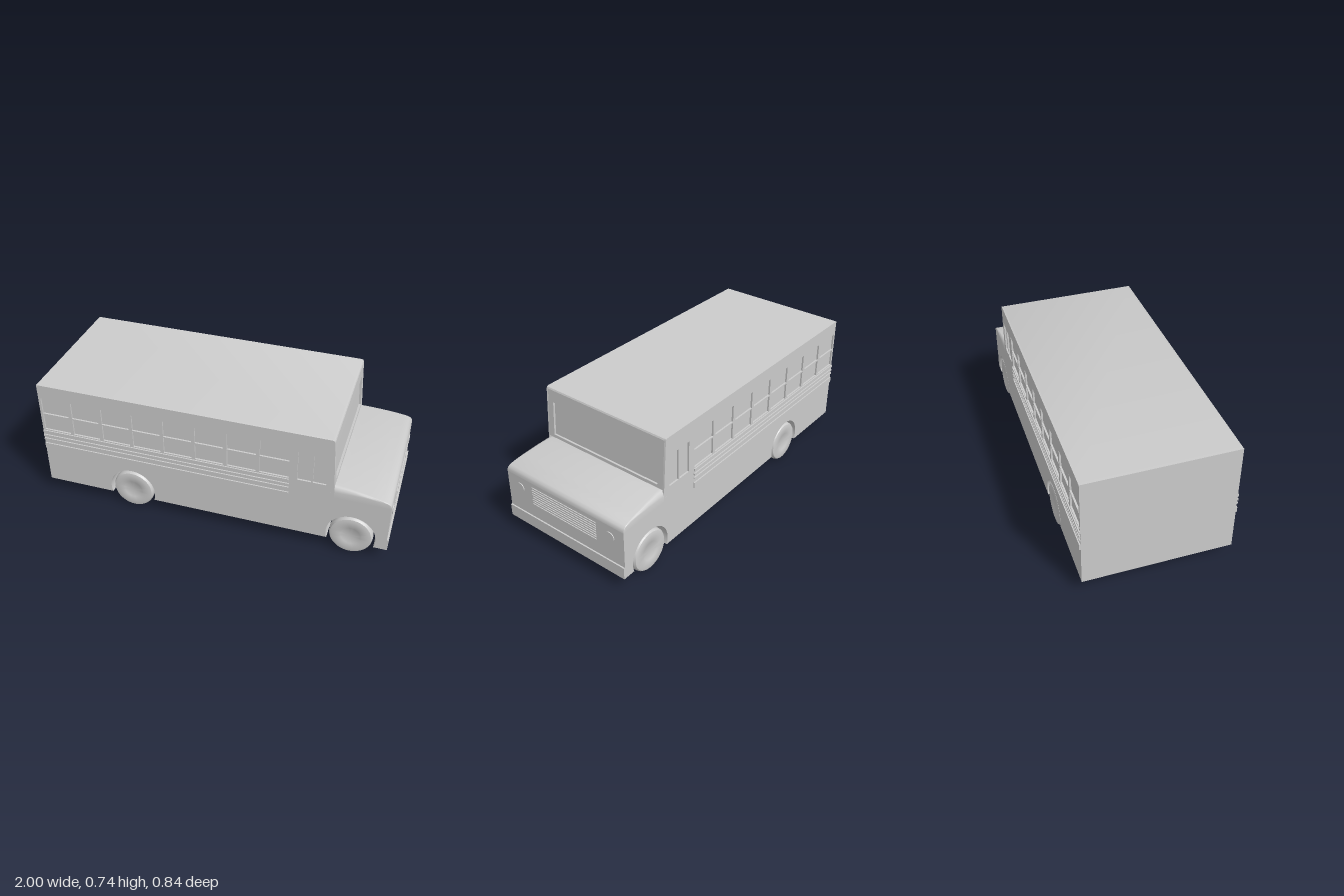
import * as THREE from 'three';
import { toCreasedNormals } from 'three/addons/utils/BufferGeometryUtils.js';

const HALF = 0.408, SKIN = 0.01, HOOD_BASE = 0.37;
const WHEEL_X = [-0.47, 0.795], WHEEL_Y = 0.127, ARCH = 0.136;
const material = new THREE.MeshStandardMaterial({ color: 0xcccccc, side: THREE.DoubleSide });

function add(parent, name, geometry, x = 0, y = 0, z = 0) {
  const mesh = new THREE.Mesh(geometry, material);
  mesh.name = name;
  mesh.position.set(x, y, z);
  parent.add(mesh);
  return mesh;
}

function rectHole(x0, x1, y0, y1) {
  return new THREE.Path([[x0, y0], [x1, y0], [x1, y1], [x0, y1]].map(p => new THREE.Vector2(...p)));
}

// Side outline with two wheel arches; inset pushes the windscreen wall back
function sideShape(inset) {
  const s = new THREE.Shape();
  const a = Math.asin((WHEEL_Y - 0.082) / ARCH);
  s.moveTo(-1, 0.74);
  s.lineTo(-1, 0.082);
  for (const x of WHEEL_X) s.absarc(x, WHEEL_Y, ARCH, Math.PI + a, -a, true);
  s.lineTo(0.99, 0.082);
  s.lineTo(0.99, HOOD_BASE);
  s.lineTo(0.688 - inset, HOOD_BASE);
  s.lineTo(0.667 - inset, 0.728);
  if (inset) s.lineTo(0.667, 0.728);
  s.lineTo(0.663, 0.736);
  s.lineTo(0.654, 0.74);
  s.closePath();
  return s;
}

function extrude(shape, depth) {
  return toCreasedNormals(new THREE.ExtrudeGeometry(shape, { depth, bevelEnabled: false, curveSegments: 24 }), 0.5);
}

// Hood lofted along x; the rounded shoulders fade out towards the nose
function hoodGeometry() {
  const stations = [[0.665, 0.441], [0.72, 0.438], [0.8, 0.431], [0.88, 0.421], [0.94, 0.411],
    [0.97, 0.403], [0.983, 0.394], [0.989, 0.383], [0.99, HOOD_BASE]];
  const pos = [], idx = [];
  stations.forEach(([x, top]) => {
    const r = 0.034 * (0.995 - x) / 0.33 + 0.001;
    const half = [[HALF, HOOD_BASE], [HALF, top - r], [HALF - 0.13 * r, top - 0.5 * r],
      [HALF - 0.5 * r, top - 0.13 * r], [HALF - r, top]];
    const ring = [...half, ...half.slice().reverse().map(([z, y]) => [-z, y])];
    for (const [z, y] of ring) pos.push(x, Math.max(HOOD_BASE, y), z);
  });
  for (let i = 0; i < stations.length - 1; i++) {
    for (let j = 0; j < 9; j++) {
      const a = i * 10 + j, b = a + 10;
      idx.push(a, b, a + 1, b, b + 1, a + 1);
    }
  }
  const g = new THREE.BufferGeometry();
  g.setAttribute('position', new THREE.Float32BufferAttribute(pos, 3));
  g.setIndex(idx);
  return toCreasedNormals(g, 0.7);
}

// Tyre and shallow hub turned around the axle, outer face towards +z
function wheelGeometry() {
  const profile = [[0, -0.032], [0.1, -0.032], [0.111, -0.029], [0.118, -0.021], [0.12, -0.01], [0.12, 0.01],
    [0.118, 0.021], [0.112, 0.029], [0.1, 0.032], [0.058, 0.031], [0.054, 0.029], [0, 0.029]];
  const g = new THREE.LatheGeometry(profile.map(p => new THREE.Vector2(...p)), 40);
  return toCreasedNormals(g.rotateX(Math.PI / 2), 0.6);
}

export function createModel() {
  const model = new THREE.Group();
  model.name = 'bus';

  // The whole vehicle leans and turns by a fraction of a degree
  const bus = new THREE.Group();
  bus.name = 'vehicle';
  bus.rotation.set(-0.008, -0.004, 0);
  bus.position.z = 0.002;
  model.add(bus);

  // Body core, whose faces act as the glass behind the openings
  const inner = HALF - SKIN;
  add(bus, 'bodyCore', extrude(sideShape(0.012), inner * 2), 0, 0, -inner);

  // Side panels with passenger and door windows
  const side = sideShape(0);
  for (let i = 0; i < 8; i++) {
    const x = -0.986 + i * 0.1805;
    side.holes.push(rectHole(x, x + 0.16, 0.445, 0.546), rectHole(x, x + 0.16, 0.554, 0.655));
  }
  side.holes.push(rectHole(0.483, 0.56, 0.445, 0.63), rectHole(0.568, 0.64, 0.445, 0.63));
  const panel = extrude(side, SKIN);
  add(bus, 'leftSidePanel', panel, 0, 0, inner);
  add(bus, 'rightSidePanel', panel, 0, 0, -HALF);

  // Windscreen surround
  const surround = new THREE.Shape([[-inner, 0], [inner, 0], [inner, 0.288], [-inner, 0.288]]
    .map(p => new THREE.Vector2(...p)));
  surround.holes.push(rectHole(-0.363, 0.363, 0.018, 0.216));
  const frame = extrude(surround, 0.012).rotateY(Math.PI / 2).rotateZ(0.06);
  add(bus, 'windscreenFrame', frame, 0.672, 0.44, 0);

  // Hood, bumper and grille
  add(bus, 'hood', hoodGeometry());
  add(bus, 'frontBumper', new THREE.BoxGeometry(0.02, 0.07, HALF * 2), 0.988, 0.117, 0);
  for (let i = 0; i < 8; i++) {
    add(bus, 'grilleSlat', new THREE.BoxGeometry(0.01, 0.007, 0.45), 0.99, 0.238 + i * 0.0149, 0);
  }

  const lamp = new THREE.CylinderGeometry(0.029, 0.029, 0.012, 32).rotateZ(Math.PI / 2);
  const wheel = wheelGeometry();
  for (const s of [1, -1]) {
    add(bus, 'headlight', lamp, 0.989, 0.304, s * 0.317);

    // Rub rails below the passenger windows
    for (const [y, h] of [[0.432, 0.014], [0.404, 0.011], [0.38, 0.009], [0.333, 0.034]]) {
      add(bus, 'rubRail', new THREE.BoxGeometry(1.44, h, 0.012), -0.278, y, s * (HALF + 0.001));
    }

    for (const x of WHEEL_X) {
      const w = add(bus, 'wheel', wheel, x, WHEEL_Y, s * 0.376);
      if (s < 0) w.rotation.y = Math.PI;
    }
  }

  // Axles and the drive shaft stubs that meet the arch walls
  const axle = new THREE.CylinderGeometry(0.013, 0.013, 0.72, 20).rotateX(Math.PI / 2);
  const shaft = new THREE.CylinderGeometry(0.013, 0.013, 0.145, 20).rotateZ(Math.PI / 2);
  WHEEL_X.forEach((x, i) => {
    add(bus, 'axle', axle, x, WHEEL_Y, 0);
    add(bus, 'driveShaft', shaft, x + (i ? -0.07 : 0.07), WHEEL_Y, 0);
  });

  return model;
}
